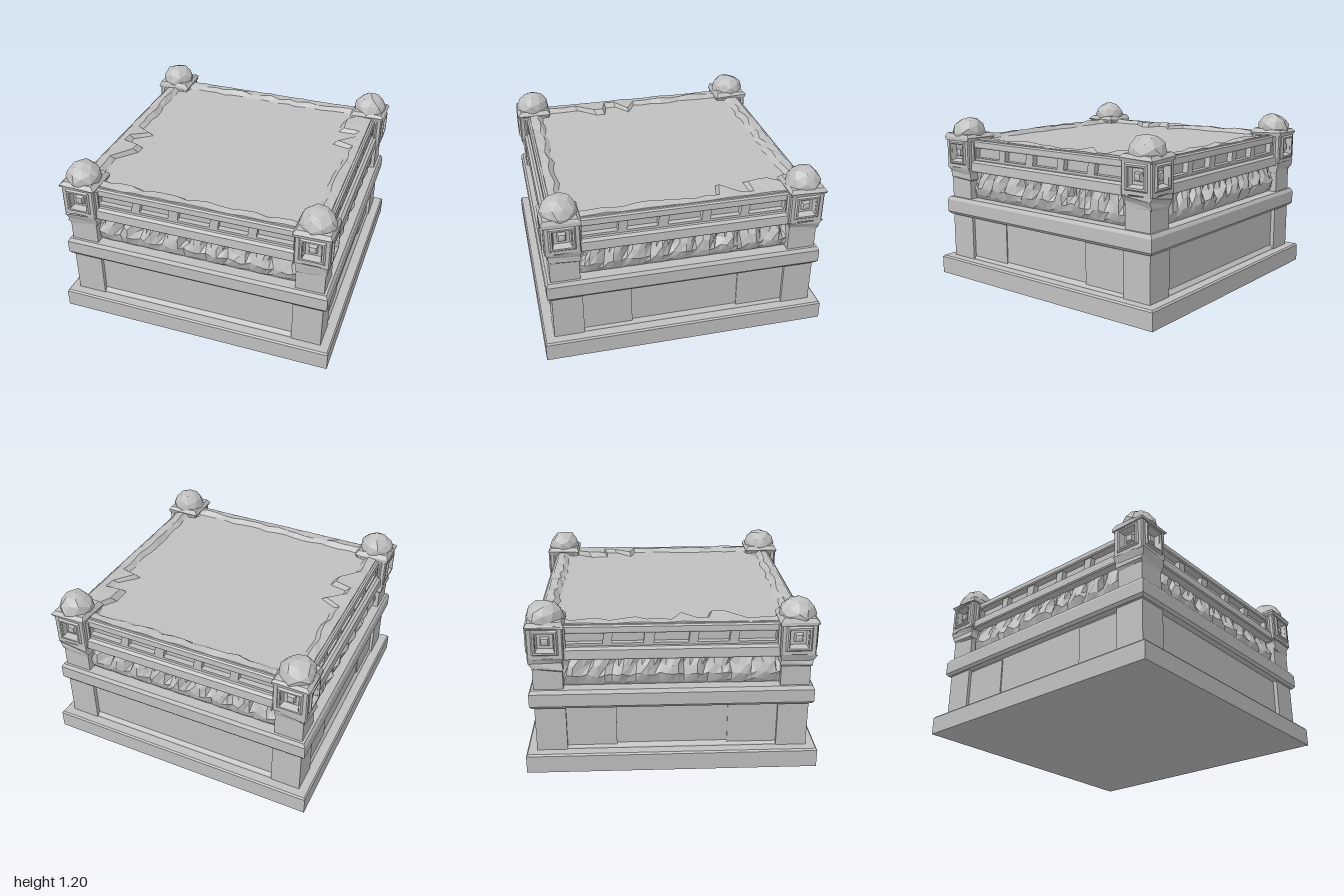
import * as THREE from 'three';

const stone = new THREE.MeshStandardMaterial({ color: 0xbfbfbf, flatShading: true });
stone.name = 'grey stone';

const rand = (a, b = 0, c = 0) => {
  const s = Math.sin(a * 12.99 + b * 78.23 + c * 37.72) * 43758.55;
  return s - Math.floor(s);
};

// Shifts vertices by a seeded amount, equal for coincident corners
function roughen(geo, amount, seed) {
  const p = geo.attributes.position;
  for (let i = 0; i < p.count; i++) {
    const [x, y, z] = [p.getX(i), p.getY(i), p.getZ(i)].map(v => Math.round(v * 200));
    const d = k => (rand(x + k, y + seed, z) - 0.5) * 2 * amount;
    p.setXYZ(i, p.getX(i) + d(1), p.getY(i) + d(2), p.getZ(i) + d(3));
  }
  geo.computeVertexNormals();
  return geo;
}

// Square solid from a profile of [half width, height], bottom to top
const squareTurned = profile => new THREE.LatheGeometry(
  profile.map(([r, y]) => new THREE.Vector2(r * Math.SQRT2, y)), 4).rotateY(Math.PI / 4);

// Skin over square rings; ring(side, u) gives [half width, height]
function squareSkin(rings, perSide) {
  const pos = [], idx = [], n = perSide * 4 + 1;
  for (const ring of rings) {
    for (let j = 0; j < n; j++) {
      const k = j % (perSide * 4), side = Math.floor(k / perSide), i = k % perSide;
      const u = -1 + 2 * i / perSide;
      const [r, y] = ring(side, u, i);
      const v = new THREE.Vector3(u * r, y, r).applyAxisAngle(new THREE.Vector3(0, 1, 0), side * Math.PI / 2);
      pos.push(v.x, v.y, v.z);
    }
  }
  for (let a = 0; a < rings.length - 1; a++) {
    for (let j = 0; j < n - 1; j++) {
      const p = a * n + j, q = p + n;
      idx.push(p, p + 1, q + 1, p, q + 1, q);
    }
  }
  const geo = new THREE.BufferGeometry();
  geo.setAttribute('position', new THREE.Float32BufferAttribute(pos, 3));
  geo.setIndex(idx);
  geo.computeVertexNormals();
  return geo;
}

function add(parent, name, geo, x = 0, y = 0, z = 0) {
  const mesh = new THREE.Mesh(geo, stone);
  mesh.name = name;
  mesh.position.set(x, y, z);
  parent.add(mesh);
  return mesh;
}

// Balustrade side with five openings
function railGeometry() {
  const s = new THREE.Shape();
  s.moveTo(-0.86, 0.88).lineTo(0.86, 0.88).lineTo(0.86, 1.0).lineTo(-0.86, 1.0).closePath();
  for (const [a, b] of [[-0.71, -0.45], [-0.4, -0.18], [-0.12, 0.12], [0.17, 0.39], [0.44, 0.7]]) {
    const h = new THREE.Path();
    h.moveTo(a, 0.91).lineTo(a + 0.01, 0.985).lineTo(b, 0.985).lineTo(b - 0.01, 0.91).closePath();
    s.holes.push(h);
  }
  return new THREE.ExtrudeGeometry(s, { depth: 0.05, bevelEnabled: false });
}

function cornerPost(seed) {
  const post = new THREE.Group();
  post.name = 'cornerPost';
  // Broken bracket under the post
  add(post, 'bracket', roughen(squareTurned(
    [[0, 0.7], [0.085, 0.72], [0.105, 0.75], [0.108, 0.79], [0.12, 0.83]]), 0.012, seed));
  // Four faces, each with a stepped square recess and a central boss
  const face = [[0.12, -0.06], [0.12, -0.008], [0.112, 0], [0.088, 0], [0.078, 0.012], [0.066, 0.012],
    [0.052, -0.035], [0.03, -0.035], [0.022, -0.01], [0, -0.004]];
  for (let i = 0; i < 4; i++) {
    const holder = new THREE.Group();
    holder.name = 'postFace';
    holder.position.y = 0.945;
    holder.rotation.y = i * Math.PI / 2;
    add(holder, 'recessedPanel', squareTurned(face).rotateX(Math.PI / 2), 0, 0, 0.12);
    post.add(holder);
  }
  add(post, 'postCore', new THREE.BoxGeometry(0.16, 0.24, 0.16), 0, 0.945, 0);
  add(post, 'neck', roughen(squareTurned(
    [[0, 1.03], [0.125, 1.04], [0.13, 1.06], [0.11, 1.085], [0, 1.09]]), 0.006, seed));
  // Faceted dome
  const dome = new THREE.IcosahedronGeometry(0.125, 1).scale(1, 0.92, 1).rotateY(seed);
  add(post, 'domeCap', roughen(dome, 0.007, seed), 0, 1.085, 0);
  return post;
}

export function createModel() {
  const model = new THREE.Group();
  model.name = 'stonePlatform';

  add(model, 'plinth', squareTurned([[0, 0], [1, 0], [1, 0.125], [0.99, 0.137], [0, 0.14]]));
  add(model, 'lowerWall', squareTurned([[0.925, 0.13], [0.92, 0.145], [0.9, 0.168], [0.9, 0.48]]));
  add(model, 'belt', squareTurned([[0.88, 0.46], [0.945, 0.465], [0.96, 0.485], [0.96, 0.575], [0.945, 0.6], [0, 0.605]]));
  add(model, 'ledge', squareTurned([[0.8, 0.808], [0.925, 0.81], [0.93, 0.82], [0.925, 0.878], [0.905, 0.893], [0, 0.895]]));
  add(model, 'innerCore', new THREE.BoxGeometry(1.69, 0.4, 1.69), 0, 0.8, 0);

  // Carved leaf frieze: ridges with a bulge low down and sharp creases above
  const leaf = (y, out, depth) => (side, u, i) => {
    const crease = i % 4 === 0 ? 1 : i % 4 === 2 ? 0 : 0.3;
    const chip = rand(i, side, y * 10) - 0.5;
    return [out - depth * crease + chip * 0.02, y + chip * 0.03];
  };
  add(model, 'leafFrieze', squareSkin([
    () => [0.86, 0.59], leaf(0.625, 0.89, 0.01), leaf(0.685, 0.915, 0.025),
    leaf(0.745, 0.905, 0.055), () => [0.865, 0.82],
  ], 44));

  // Rails on the four sides
  for (let i = 0; i < 4; i++) {
    const side = new THREE.Group();
    side.name = 'railSide';
    side.rotation.y = i * Math.PI / 2;
    add(side, 'rail', railGeometry(), 0, 0, 0.835);
    model.add(side);
  }
  add(model, 'handrail', squareTurned([[0.84, 0.985], [0.895, 0.985], [0.9, 0.995], [0.897, 1.03], [0.885, 1.04], [0.83, 1.042]]));

  // Worn floor with a chipped rim
  const inner = (side, i) => {
    const r = rand(i, side, 3);
    return 0.79 - 0.03 * r - (side % 2 && r > 0.8 ? 0.1 : 0);
  };
  add(model, 'wornFloor', squareSkin([
    () => [0.875, 1.02],
    (s, u, i) => [0.87, 1.042 + 0.012 * rand(i, s)],
    (s, u, i) => [inner(s, i) + 0.035, 1.045 + 0.018 * rand(i, s, 7)],
    (s, u, i) => [inner(s, i), 1.025],
    () => [0.6, 1.022],
    () => [0, 1.022],
  ], 20));

  // Corner piers and posts
  [[-1, -1], [1, -1], [1, 1], [-1, 1]].forEach(([sx, sz], i) => {
    add(model, 'lowerPier', new THREE.BoxGeometry(0.21, 0.36, 0.21), sx * 0.825, 0.31, sz * 0.825);
    add(model, 'upperPier', new THREE.BoxGeometry(0.2, 0.24, 0.2), sx * 0.828, 0.7, sz * 0.828);
    // Slightly raised wall slab beside the pier
    add(model, 'wallSlab', new THREE.BoxGeometry(0.02, 0.3, 0.34), sx * 0.898, 0.3, sz * 0.55);
    const post = cornerPost(i + 1);
    post.position.set(sx * 0.832, 0, sz * 0.832);
    model.add(post);
  });
  return model;
}
